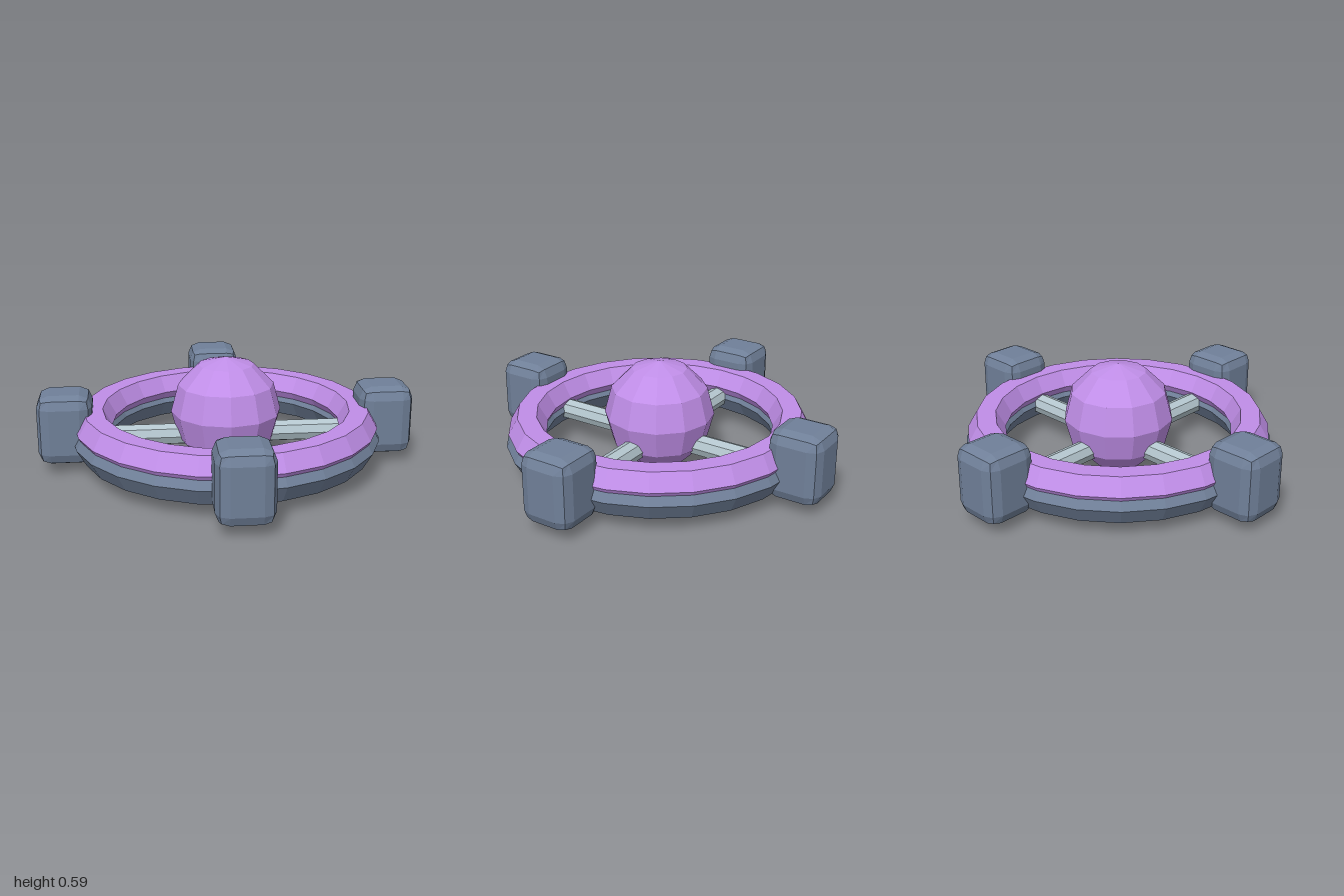
import * as THREE from 'three';
import { RoundedBoxGeometry } from 'three/addons/geometries/RoundedBoxGeometry.js';

export function createModel() {
  const model = new THREE.Group();
  const paint = (color) => new THREE.MeshStandardMaterial({ color, flatShading: true });
  const purple = paint(0xc08ee8);
  const slate = paint(0x708099);
  const steel = paint(0xb4c6ce);

  function add(name, geometry, material, x, y, z, parent = model) {
    const mesh = new THREE.Mesh(geometry, material);
    mesh.name = name;
    mesh.position.set(x, y, z);
    parent.add(mesh);
    return mesh;
  }

  // Two overlapping six-sided rings
  function ring(name, radius, tube, material, y) {
    const geometry = new THREE.TorusGeometry(radius, tube, 6, 24).rotateX(Math.PI / 2);
    add(name, geometry, material, 0, y, 0);
  }
  ring('baseRing', 0.72, 0.103, slate, 0.176);
  ring('upperRing', 0.709, 0.101, purple, 0.243);

  // Faceted core in the middle
  add('core', new THREE.SphereGeometry(0.295, 12, 6), purple, 0, 0.305, 0);

  // Four arms, each a spoke and a bevelled pod on the rim
  const spokeGeometry = new THREE.CylinderGeometry(0.058, 0.058, 0.72, 8).rotateX(Math.PI / 2);
  const podGeometry = new RoundedBoxGeometry(0.286, 0.375, 0.289, 1, 0.065);
  ['front', 'left', 'back', 'right'].forEach((side, i) => {
    const arm = new THREE.Group();
    arm.name = side + 'Arm';
    arm.rotation.y = i * Math.PI / 2;
    add(side + 'Spoke', spokeGeometry, steel, 0, 0.176, 0.36, arm);
    add(side + 'Pod', podGeometry, slate, 0, 0.247, 0.8555, arm);
    model.add(arm);
  });

  return model;
}
